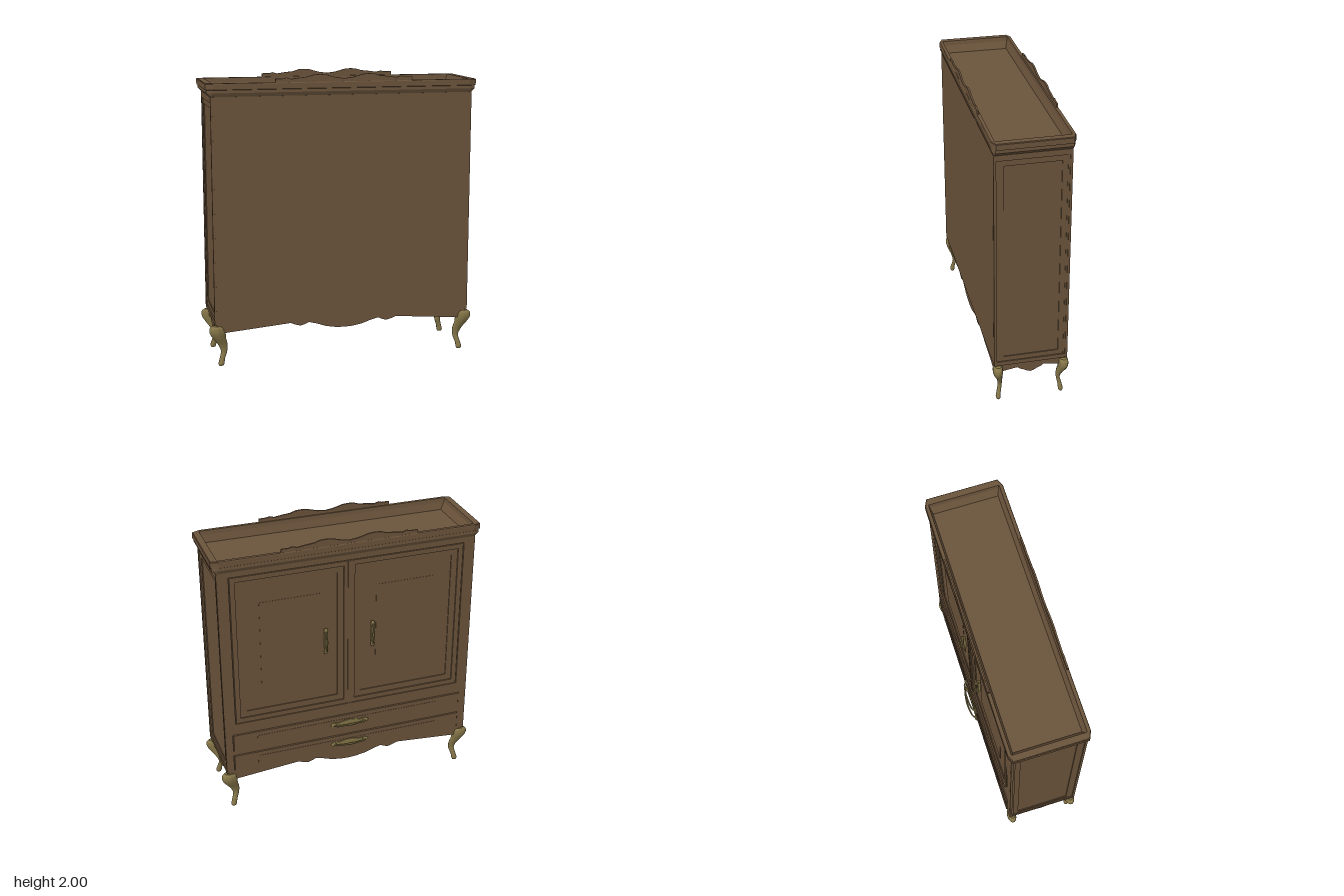
import * as THREE from 'three';

const wood = new THREE.MeshStandardMaterial({ color: 0x6a533b, flatShading: true });
const brass = new THREE.MeshStandardMaterial({ color: 0x857648 });
const ZC = 0.0175; // middle of the carcass in z
const BACK = -0.235; // plane of the door side

function add(parent, name, geo, mat, x = 0, y = 0, z = 0) {
  const m = new THREE.Mesh(geo, mat);
  m.name = name;
  m.position.set(x, y, z);
  parent.add(m);
  return m;
}

// Box given by its limits
function box(parent, name, x0, x1, y0, y1, z0, z1) {
  return add(parent, name, new THREE.BoxGeometry(x1 - x0, y1 - y0, z1 - z0), wood,
    (x0 + x1) / 2, (y0 + y1) / 2, (z0 + z1) / 2);
}

const rect = (C, x0, x1, y0, y1) => new C([[x0, y0], [x1, y0], [x1, y1], [x0, y1]]
  .map(p => new THREE.Vector2(...p)));

// Flat board with rectangular openings, each [x0, x1, y0, y1]
function frame(outer, holes, depth) {
  const s = rect(THREE.Shape, ...outer);
  s.holes = holes.map(h => rect(THREE.Path, ...h));
  return new THREE.ExtrudeGeometry(s, { depth, bevelEnabled: false });
}

// Mirrored scalloped board: half outline from the outer end to the centre, closed by a straight edge
function scallop(half, edgeY, depth) {
  const pts = half.concat(half.slice(0, -1).reverse().map(([x, y]) => [-x, y]));
  const end = half[0][0];
  const s = new THREE.Shape([[end, edgeY], ...pts, [-end, edgeY]].map(p => new THREE.Vector2(...p)));
  return new THREE.ExtrudeGeometry(s, { depth, bevelEnabled: false });
}

// Hollow cornice: chamfered rings [y, half width, half depth, chamfer], closed by the tray floor
function corniceGeometry(rings) {
  const loops = rings.map(([y, w, d, c]) => {
    const e = c * 0.45;
    return [[w, d - e], [w, e - d], [w - c, -d], [c - w, -d], [-w, e - d], [-w, d - e], [c - w, d], [w - c, d]]
      .map(([x, z]) => [x, y, z]);
  });
  const pos = [];
  for (let k = 0; k + 1 < loops.length; k++) {
    for (let i = 0; i < 8; i++) {
      const j = (i + 1) % 8, a = loops[k], b = loops[k + 1];
      pos.push(...a[i], ...a[j], ...b[j], ...a[i], ...b[j], ...b[i]);
    }
  }
  const top = loops[loops.length - 1];
  for (let i = 1; i < 7; i++) pos.push(...top[0], ...top[i], ...top[i + 1]);
  const g = new THREE.BufferGeometry();
  g.setAttribute('position', new THREE.Float32BufferAttribute(pos, 3));
  g.computeVertexNormals();
  return g;
}

// Cabriole leg: a cylinder whose rings follow [y, x, z, radius x, radius z]
function legGeometry() {
  const keys = [
    [0, 0.866, 0.22, 0.016, 0.012], [0.015, 0.865, 0.22, 0.021, 0.017], [0.05, 0.857, 0.215, 0.019, 0.014],
    [0.1, 0.843, 0.205, 0.022, 0.013], [0.15, 0.853, 0.209, 0.034, 0.018], [0.2, 0.877, 0.222, 0.046, 0.027],
    [0.24, 0.889, 0.228, 0.056, 0.033], [0.27, 0.89, 0.228, 0.053, 0.032], [0.287, 0.885, 0.226, 0.038, 0.024],
  ];
  const path = new THREE.CatmullRomCurve3(keys.map(k => new THREE.Vector3(k[1], k[0], k[2])));
  const size = new THREE.CatmullRomCurve3(keys.map(k => new THREE.Vector3(k[3], 0, k[4])));
  const g = new THREE.CylinderGeometry(1, 1, 1, 14, 24);
  const p = g.attributes.position;
  for (let i = 0; i < p.count; i++) {
    const t = p.getY(i) + 0.5, c = path.getPoint(t), r = size.getPoint(t);
    p.setXYZ(i, c.x + p.getX(i) * r.x, c.y, c.z + p.getZ(i) * r.z);
  }
  g.computeVertexNormals();
  return g;
}

// Bow handle along x, centred on the origin and bulging towards -z
function bowHandle(name, half, out) {
  const g = new THREE.Group();
  g.name = name;
  const pts = [[-1, 0], [-0.85, 0.55], [-0.45, 0.85], [0, 1], [0.45, 0.85], [0.85, 0.55], [1, 0]]
    .map(([x, z]) => new THREE.Vector3(x * half, 0, -z * out));
  add(g, 'bow', new THREE.TubeGeometry(new THREE.CatmullRomCurve3(pts), 24, 0.006, 8), brass);
  add(g, 'grip', new THREE.SphereGeometry(1, 14, 8), brass, 0, 0, -out * 0.95).scale.set(half * 0.45, 0.009, 0.006);
  for (const s of [-1, 1]) {
    add(g, 'rosette', new THREE.SphereGeometry(1, 12, 8), brass, s * half, 0, -0.002).scale.set(0.022, 0.015, 0.009);
  }
  return g;
}

export function createModel() {
  const root = new THREE.Group();
  root.name = 'cabinet';

  // Carcass
  box(root, 'carcass', -0.895, 0.895, 0.3, 1.86, -0.205, 0.27);

  // Recessed side panels in stepped frames
  for (const s of [-1, 1]) {
    const side = new THREE.Group();
    side.name = 'sidePanel';
    side.position.z = ZC;
    side.rotation.y = s * Math.PI / 2;
    add(side, 'outerFrame', frame([-0.252, 0.252, 0.3, 1.86], [[-0.235, 0.235, 0.33, 1.82]], 0.016), wood, 0, 0, 0.894);
    add(side, 'innerFrame', frame([-0.235, 0.235, 0.33, 1.82], [[-0.187, 0.187, 0.365, 1.78]], 0.008), wood, 0, 0, 0.894);
    root.add(side);
  }

  // Face frame around the doors and drawers
  const drawers = [[0.32, 0.445], [0.48, 0.615]];
  const openings = [[-0.83, 0.83, 0.7, 1.82], ...drawers.map(([a, b]) => [-0.855, 0.855, a, b])];
  add(root, 'faceFrame', frame([-0.905, 0.905, 0.3, 1.86], openings, 0.03), wood, 0, 0, BACK);

  // Doors with stepped mouldings and bow handles
  for (const s of [-1, 1]) {
    const door = new THREE.Group();
    door.name = s > 0 ? 'leftDoor' : 'rightDoor';
    door.position.x = s * 0.414;
    add(door, 'doorFrame', frame([-0.41, 0.41, 0.705, 1.815], [[-0.375, 0.375, 0.74, 1.78]], 0.03), wood, 0, 0, BACK);
    add(door, 'moulding', frame([-0.375, 0.375, 0.74, 1.78], [[-0.33, 0.33, 0.785, 1.735]], 0.03), wood, 0, 0, -0.225);
    box(door, 'panel', -0.34, 0.34, 0.775, 1.745, -0.218, -0.2);
    box(door, 'raisedField', -0.215, 0.215, 0.94, 1.6, -0.22, -0.21);
    root.add(door);
    const handle = bowHandle('doorHandle', 0.08, 0.025);
    handle.rotation.z = Math.PI / 2;
    handle.position.set(s * 0.17, 1.235, BACK);
    // Mounting plate reaching back to the door panel
    add(handle, 'plate', new THREE.BoxGeometry(0.18, 0.014, 0.016), brass, 0, 0, 0.009);
    root.add(handle);
  }
  box(root, 'centreStrip', -0.012, 0.012, 0.705, 1.815, -0.24, -0.2);

  // Drawers with scalloped plates and bow pulls
  for (const [y0, y1] of drawers) {
    const y = (y0 + y1) / 2;
    box(root, 'drawerFront', -0.85, 0.85, y0 + 0.004, y1 - 0.004, -0.243, -0.2);
    box(root, 'drawerField', -0.68, 0.68, y0 + 0.035, y1 - 0.035, -0.245, -0.23);
    const plate = scallop([[0.14, 0.004], [0.115, 0.016], [0.08, 0.01], [0.04, 0.02], [0, 0.024]], -0.018, 0.006);
    add(root, 'pullPlate', plate, brass, 0, y, -0.25);
    const pull = bowHandle('drawerPull', 0.12, 0.033);
    pull.position.set(0, y, -0.25);
    root.add(pull);
  }

  // Cornice with open tray on top
  add(root, 'cornice', corniceGeometry([
    [1.86, 0.908, 0.253, 0.01], [1.885, 0.935, 0.265, 0.04], [1.905, 0.934, 0.264, 0.04],
    [1.908, 0.942, 0.269, 0.05], [1.945, 0.942, 0.269, 0.05], [1.95, 0.938, 0.266, 0.05],
    [1.95, 0.895, 0.244, 0.004], [1.92, 0.89, 0.24, 0.004], [1.87, 0.862, 0.226, 0.004],
  ]), wood, 0, 0, 0.0145);

  // Crests standing on the long cornice edges
  const crest = scallop([[0.475, 1.974], [0.42, 1.974], [0.4, 1.981], [0.365, 1.971], [0.31, 1.979], [0.25, 1.985],
    [0.21, 1.998], [0.17, 2], [0.13, 1.997], [0.06, 1.978], [0, 1.97]], 1.935, 0.012);
  for (const z of [0.268, -0.251]) add(root, 'crest', crest, wood, 0, 0, z);

  // Scalloped aprons under all four sides
  const longApron = scallop([[0.895, 0.235], [0.83, 0.24], [0.6, 0.26], [0.38, 0.279], [0.35, 0.267], [0.31, 0.256],
    [0.28, 0.264], [0.25, 0.278], [0.19, 0.262], [0.13, 0.241], [0.06, 0.229], [0, 0.226]], 0.302, 0.018);
  for (const z of [0.245, -0.228]) add(root, 'longApron', longApron, wood, 0, 0, z);
  const sideApron = scallop([[0.235, 0.235], [0.2, 0.24], [0.09, 0.258], [0.075, 0.245], [0.045, 0.232],
    [0.02, 0.217], [0, 0.213]], 0.302, 0.018);
  for (const s of [-1, 1]) {
    add(root, 'sideApron', sideApron, wood, s * 0.885 - 0.009, 0, ZC).rotation.y = Math.PI / 2;
  }

  // Cabriole legs, turned half round or mirrored for each corner
  const leg = legGeometry();
  for (const sx of [-1, 1]) {
    for (const sz of [-1, 1]) add(root, 'leg', leg, brass, 0, 0, 0.0145).scale.set(sx, 1, sz);
  }
  return root;
}
